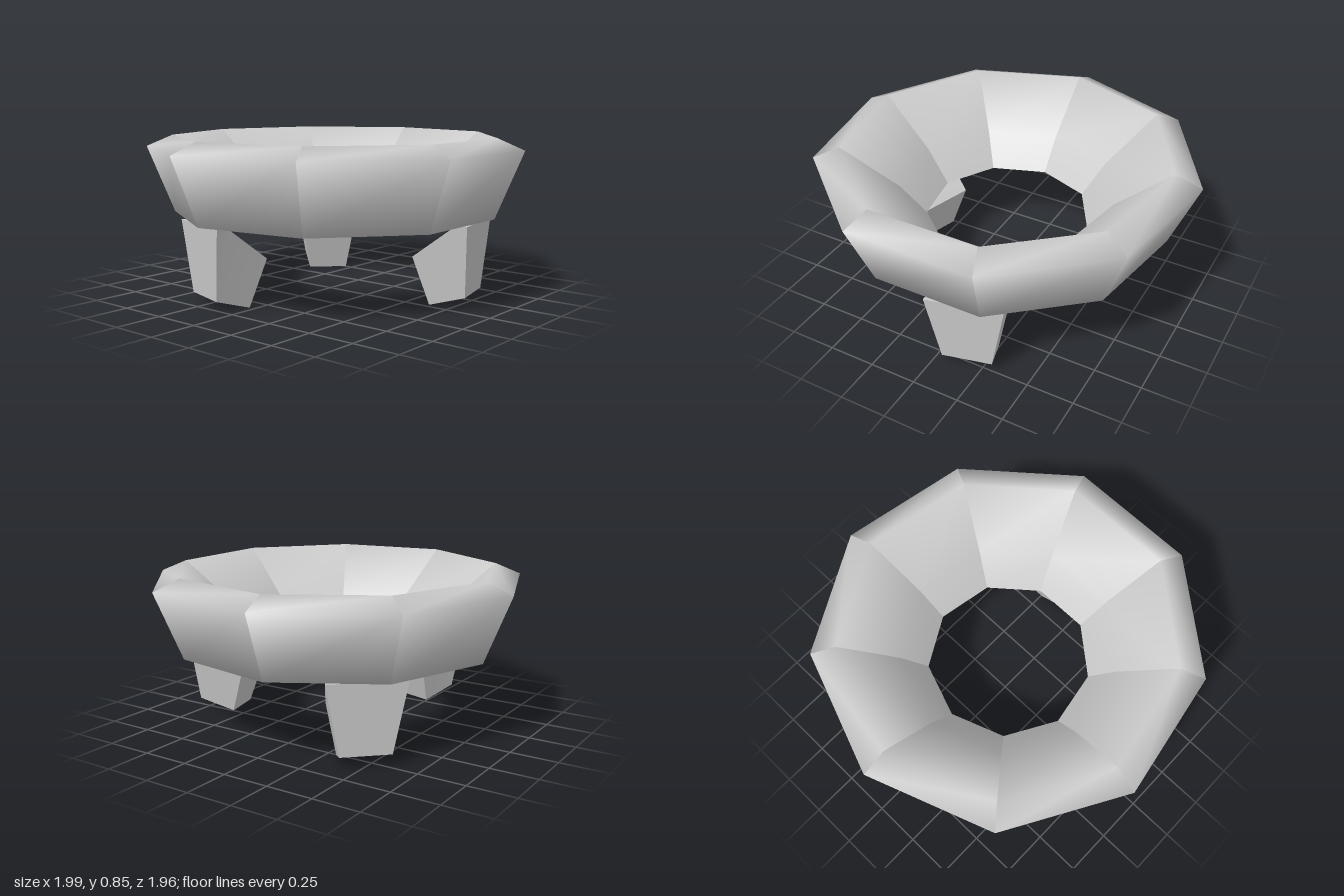
import * as THREE from 'three';
import { toCreasedNormals } from 'three/addons/utils/BufferGeometryUtils.js';

const DEG = Math.PI / 180;

// Joins two matching loops of points with quads, optionally closing both ends
function loft(a, b, capped, crease) {
  const n = a.length;
  const index = [];
  for (let i = 0; i < n; i++) {
    const j = (i + 1) % n;
    index.push(i, n + i, n + j, i, n + j, j);
    if (capped && i > 0 && i < n - 1) index.push(0, i, j, n, n + j, n + i);
  }
  const geometry = new THREE.BufferGeometry().setFromPoints([...a, ...b]);
  geometry.setIndex(index);
  return toCreasedNormals(geometry, crease);
}

// Point at a radius and height in direction t, moved sideways by w
function polar(t, r, y, w = 0) {
  return new THREE.Vector3(
    r * Math.sin(t) + w * Math.cos(t), y, r * Math.cos(t) - w * Math.sin(t));
}

export function createModel() {
  const model = new THREE.Group();
  const material = new THREE.MeshStandardMaterial({ color: 0xcccccc, side: THREE.DoubleSide });
  const add = (name, geometry) => {
    const mesh = new THREE.Mesh(geometry, material);
    mesh.name = name;
    mesh.position.z = 0.03;
    model.add(mesh);
  };

  // Nine-sided bowl ring; section as [radius, height]
  const section = [[0.865, 0.43], [1.01, 0.785], [0.87, 0.845], [0.575, 0.6], [0.44, 0.43]];
  for (let k = 0; k < 9; k++) {
    const loop = (t) => section.map(([r, y]) => polar(t * DEG, r, y));
    add('ringSegment' + (k + 1), loft(loop(k * 40 - 20), loop(k * 40 + 20), false, 1.7));
  }

  // Three tapered legs; profile as [radius, height, half width]
  const profile = [
    [0.785, 0.06, 0.13], [0.81, 0.43, 0.2], [0.75, 0.43, 0.19],
    [0.51, 0.25, 0.15], [0.59, 0, 0.11],
  ];
  for (let k = 0; k < 3; k++) {
    const t = (13.5 + k * 120) * DEG;
    const side = (s) => profile.map(([r, y, w]) => polar(t, r, y, s * w));
    add('leg' + (k + 1), loft(side(-1), side(1), true, 0.9));
  }
  return model;
}
